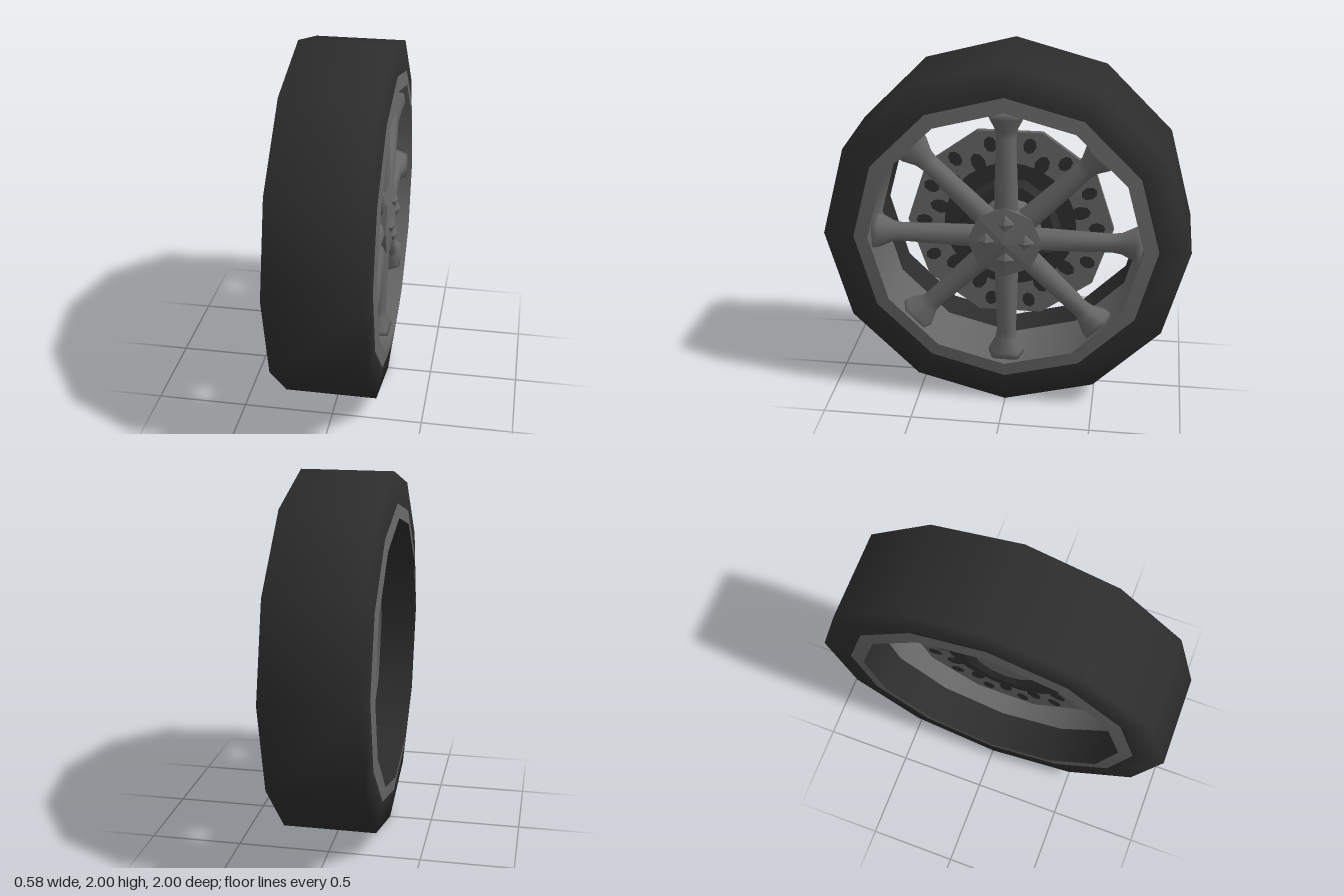
import * as THREE from 'three';
import { mergeGeometries } from 'three/addons/utils/BufferGeometryUtils.js';

const mat = (name, color) => {
  const m = new THREE.MeshStandardMaterial({ color });
  m.name = name;
  return m;
};

// Turned ring around the x axis; points are [radius, x]
const turned = (points, sides) =>
  new THREE.LatheGeometry(points.map(([r, x]) => new THREE.Vector2(r, x)), sides).rotateZ(-Math.PI / 2);

// Solid drum along the x axis, from radius r0 at x0 to r1 at x1
const drum = (r0, r1, x0, x1, sides) =>
  new THREE.CylinderGeometry(r1, r0, x1 - x0, sides).rotateZ(-Math.PI / 2).translate((x0 + x1) / 2, 0, 0);

// Hard facets
const faceted = (g) => {
  const f = g.toNonIndexed();
  f.computeVertexNormals();
  return f;
};

export function createModel() {
  const rubber = mat('black rubber', 0x2d2d2d);
  const metal = mat('grey metal', 0x666666);
  const darkMetal = mat('dark metal', 0x2f2f2f);

  const model = new THREE.Group();
  model.name = 'wheel';
  const wheel = new THREE.Group();
  wheel.name = 'wheelParts';
  wheel.position.y = 1;
  model.add(wheel);
  const add = (name, geometry, material) => {
    const mesh = new THREE.Mesh(geometry, material);
    mesh.name = name;
    wheel.add(mesh);
    return mesh;
  };

  // Tyre and the dark band inside its back half
  add('tyre', turned([[0.83, -0.28], [1, -0.26], [1, 0.247], [0.83, 0.268]], 12), rubber);
  add('backInnerBand', turned([[0.748, -0.08], [0.75, -0.29]], 12), rubber);

  // Rim
  add('outerLip', turned([[0.83, 0.268], [0.75, 0.277]], 12), metal);
  add('backLip', turned([[0.75, -0.29], [0.83, -0.28]], 12), metal);
  add('rimBarrel', turned([[0.75, 0.277], [0.748, -0.08]], 12), metal);

  // Spokes: tapered, flaring out to meet the rim
  const profile = [[0.066, 0.12], [0.064, 0.25], [0.054, 0.58], [0.062, 0.63], [0.098, 0.7], [0.106, 0.735], [0, 0.75]];
  const spoke = new THREE.LatheGeometry(profile.map(([r, y]) => new THREE.Vector2(r, y)), 8);
  const sp = spoke.attributes.position;
  for (let i = 0; i < sp.count; i++) {
    sp.setX(i, Math.max(-0.09, Math.min(0.075, sp.getX(i))) + 0.175);
  }
  spoke.computeVertexNormals();
  for (let i = 0; i < 8; i++) {
    add('spoke', spoke, metal).rotation.x = (i * Math.PI) / 4;
  }

  // Hub with four bolts
  add('hub', faceted(turned([[0, 0.09], [0.17, 0.09], [0.205, 0.245], [0, 0.272]], 8)), metal);
  const bolt = faceted(turned([[0.047, 0.25], [0.044, 0.268], [0, 0.286]], 4));
  for (let i = 0; i < 4; i++) {
    const a = (i * Math.PI) / 2;
    add('bolt', bolt, metal).position.set(0, 0.012 + 0.106 * Math.cos(a), 0.106 * Math.sin(a) - 0.005);
  }
  add('hubNeck', drum(0.19, 0.17, 0, 0.12, 12), metal);

  // Brake disc with dark centre and two rows of vents
  add('brakeDisc', faceted(drum(0.578, 0.578, -0.02, 0.01, 10)), metal);
  add('discCentre', drum(0.37, 0.37, -0.024, 0.014, 28), darkMetal);
  const vents = [];
  const vent = (radius, length, width, turn) => {
    const plate = drum(1, 1, -0.024, 0.014, 8).scale(1, length, width);
    vents.push(plate.translate(0, radius, 0).rotateX(turn));
  };
  for (let i = 0; i < 14; i++) {
    const step = (Math.PI * 2) / 14;
    vent(0.485, 0.046, 0.036, (i + 0.5) * step);
    vent(0.4, 0.06, 0.04, i * step);
  }
  add('discVents', mergeGeometries(vents), darkMetal);

  // Bearing ring with a recessed cap at the back
  const ring = [[0.18, -0.026], [0.25, -0.045], [0.285, -0.045], [0.285, 0.015], [0.25, 0.05], [0.15, 0.05]];
  add('bearingRing', faceted(turned(ring, 10)), darkMetal);
  add('bearingCap', drum(0.185, 0.185, -0.03, 0, 12), metal);

  return model;
}
